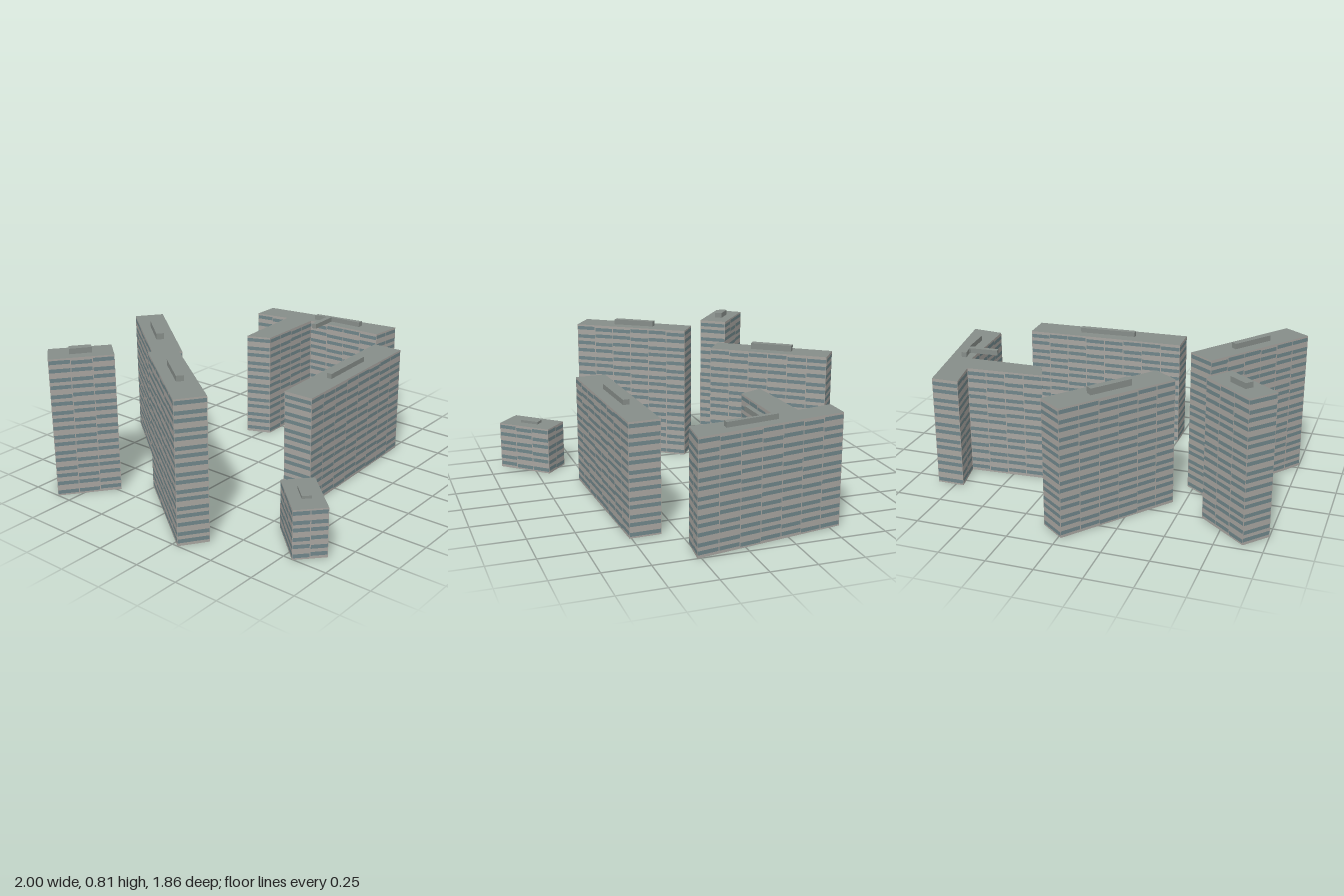
import * as THREE from 'three';

const paint = (color) => new THREE.MeshStandardMaterial({ color });
const wallMat = paint(0xa8a5a0), glassMat = paint(0x70868a), roofMat = paint(0x868d89);

const FLOOR = 0.047, BAY = 0.115, PIER = 0.005, BAND = 0.021;

// Footprints as [x, z] corners, clockwise seen from above
const buildings = [
  { name: 'backLeftTower', height: 0.78, top: 0.81,
    plan: [[-0.89, -0.71], [-0.63, -0.5], [-0.73, -0.375], [-1, -0.585]],
    penthouse: [[-0.845, -0.595], [-0.755, -0.525], [-0.78, -0.49], [-0.875, -0.56]] },
  { name: 'leftSlab', height: 0.78, top: 0.81,
    plan: [[-0.595, -0.265], [-0.465, -0.175], [-0.865, 0.38], [-1, 0.285]],
    penthouse: [[-0.675, -0.055], [-0.65, -0.035], [-0.79, 0.165], [-0.82, 0.14]] },
  { name: 'backSlab', height: 0.7, top: 0.735,
    plan: [[-0.015, -0.93], [0.115, -0.83], [-0.31, -0.285], [-0.44, -0.38]],
    penthouse: [[-0.105, -0.72], [-0.075, -0.695], [-0.22, -0.505], [-0.255, -0.53]] },
  { name: 'frontSlab', height: 0.612, top: 0.64,
    plan: [[-0.255, 0.375], [0.66, 0.34], [0.665, 0.51], [-0.25, 0.545]],
    penthouse: [[0.04, 0.435], [0.37, 0.415], [0.375, 0.45], [0.04, 0.465]] },
  { name: 'lowBlock', height: 0.27, top: 0.285,
    plan: [[-0.535, 0.565], [-0.405, 0.685], [-0.625, 0.925], [-0.755, 0.805]],
    penthouse: [[-0.56, 0.69], [-0.525, 0.72], [-0.6, 0.805], [-0.635, 0.77]] },
  { name: 'branchedBlock', height: 0.612, top: 0.64,
    plan: [[0.705, -0.56], [0.855, -0.56], [1, 0.27], [0.82, 0.25],
      [0.79, -0.21], [0.37, -0.205], [0.315, -0.335], [0.745, -0.36]],
    penthouse: [[0.825, -0.205], [0.855, -0.205], [0.868, -0.13], [0.905, 0.09], [0.87, 0.09],
      [0.855, -0.1], [0.68, -0.095], [0.675, -0.12], [0.835, -0.13], [0.84, -0.14]] },
];

// Collects upright quads that face outward from a clockwise footprint
class Panels {
  constructor() { this.points = []; }
  add(a, b, y0, y1) {
    if (y1 - y0 < 1e-4) return;
    const [ax, az] = a, [bx, bz] = b;
    this.points.push(bx, y0, bz, ax, y0, az, ax, y1, az, bx, y0, bz, ax, y1, az, bx, y1, bz);
  }
  mesh(name, material) {
    const g = new THREE.BufferGeometry();
    g.setAttribute('position', new THREE.Float32BufferAttribute(this.points, 3));
    g.computeVertexNormals();
    const m = new THREE.Mesh(g, material);
    m.name = name;
    return m;
  }
}

// Horizontal slab face of a footprint, looking up or down
function flat(plan, y, up, name, material) {
  const s = up ? -1 : 1;
  const shape = new THREE.Shape(plan.map(([x, z]) => new THREE.Vector2(x, s * z)));
  const g = new THREE.ShapeGeometry(shape).rotateX(s * Math.PI / 2).translate(0, y, 0);
  const m = new THREE.Mesh(g, material);
  m.name = name;
  return m;
}

const eachEdge = (plan, fn) => plan.forEach((p, i) => fn(p, plan[(i + 1) % plan.length], i));
const mix = (a, b, t) => [a[0] + (b[0] - a[0]) * t, a[1] + (b[1] - a[1]) * t];

function makeBuilding({ name, height, top, plan, penthouse }) {
  const group = new THREE.Group();
  group.name = name;
  const walls = new Panels(), windows = new Panels(), hut = new Panels();
  const floors = Math.round(height / FLOOR), step = height / floors;

  // Facades: bays between thin piers, one window band per storey
  eachEdge(plan, (a, b, side) => {
    const length = Math.hypot(b[0] - a[0], b[1] - a[1]);
    const bays = Math.max(1, Math.round(length / BAY));
    const pier = PIER / length / 2;
    for (let i = 0; i < bays; i++) {
      const t0 = i / bays, t1 = (i + 1) / bays;
      const p = mix(a, b, t0 + pier), q = mix(a, b, t1 - pier);
      walls.add(mix(a, b, t0), p, 0, height);
      walls.add(q, mix(a, b, t1), 0, height);
      for (let f = 0; f < floors; f++) {
        const y = f * step;
        const low = y + ((f * 3 + i * 5 + side * 2) % 7 < 3 ? 0.009 : 0.015);
        walls.add(p, q, y, low);
        windows.add(p, q, low, low + BAND);
        walls.add(p, q, low + BAND, y + step);
      }
    }
  });

  // Rooftop plant room
  eachEdge(penthouse, (a, b) => hut.add(a, b, height, top));

  group.add(
    walls.mesh('walls', wallMat),
    windows.mesh('windowBands', glassMat),
    flat(plan, height, true, 'roof', roofMat),
    flat(plan, 0, false, 'base', wallMat),
    hut.mesh('penthouseWalls', roofMat),
    flat(penthouse, top, true, 'penthouseRoof', roofMat),
  );
  return group;
}

export function createModel() {
  const model = new THREE.Group();
  model.name = 'housingEstate';
  buildings.forEach((b) => model.add(makeBuilding(b)));
  return model;
}
